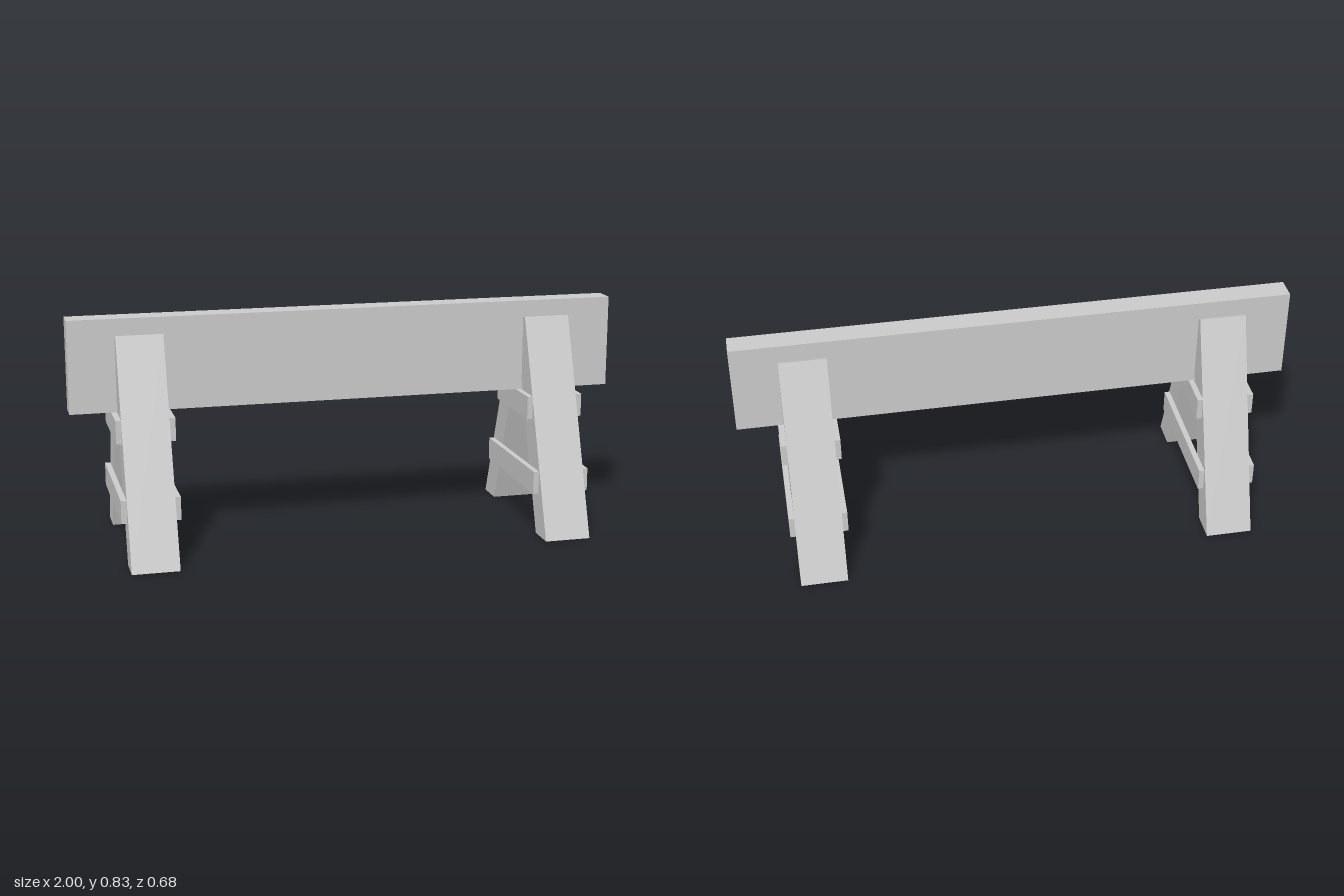
import * as THREE from 'three';

export function createModel() {
  const model = new THREE.Group();
  model.name = 'sawhorse';
  const material = new THREE.MeshStandardMaterial({ color: 0xcccccc, flatShading: true });

  function add(parent, geometry, name, x, y, z) {
    const mesh = new THREE.Mesh(geometry, material);
    mesh.name = name;
    mesh.position.set(x, y, z);
    parent.add(mesh);
    return mesh;
  }

  // Top beam
  add(model, new THREE.BoxGeometry(2, 0.333, 0.084), 'topBeam', 0, 0.667, 0);

  // Slanted leg: side profile (z, y), cut flat at the floor and against the beam
  const legWidth = 0.168;
  const profile = [[0.342, 0], [0.236, 0], [0.042, 0.535], [0.042, 0.769], [0.06, 0.776]];
  const legShape = new THREE.Shape(profile.map(([z, y]) => new THREE.Vector2(-z, y)));
  const legGeometry = new THREE.ExtrudeGeometry(legShape, { depth: legWidth, bevelEnabled: false });
  legGeometry.translate(0, 0, -legWidth / 2);
  legGeometry.rotateY(Math.PI / 2); // profile now lies in the z-y plane

  // Cross braces nailed to both faces of each leg pair
  const braceThickness = 0.02;
  const braces = [
    { name: 'upperBrace', length: 0.333, y: 0.458 },
    { name: 'lowerBrace', length: 0.502, y: 0.197 },
  ];

  for (const side of [-1, 1]) {
    const trestle = new THREE.Group();
    trestle.name = side > 0 ? 'leftTrestle' : 'rightTrestle';
    trestle.position.x = side * 0.75;
    model.add(trestle);

    add(trestle, legGeometry, 'frontLeg', 0, 0, 0);
    add(trestle, legGeometry, 'backLeg', 0, 0, 0).rotation.y = Math.PI;

    for (const { name, length, y } of braces) {
      const geometry = new THREE.BoxGeometry(braceThickness, 0.083, length);
      for (const face of [-1, 1]) {
        add(trestle, geometry, name, face * (legWidth + braceThickness) / 2, y, 0);
      }
    }
  }
  return model;
}
